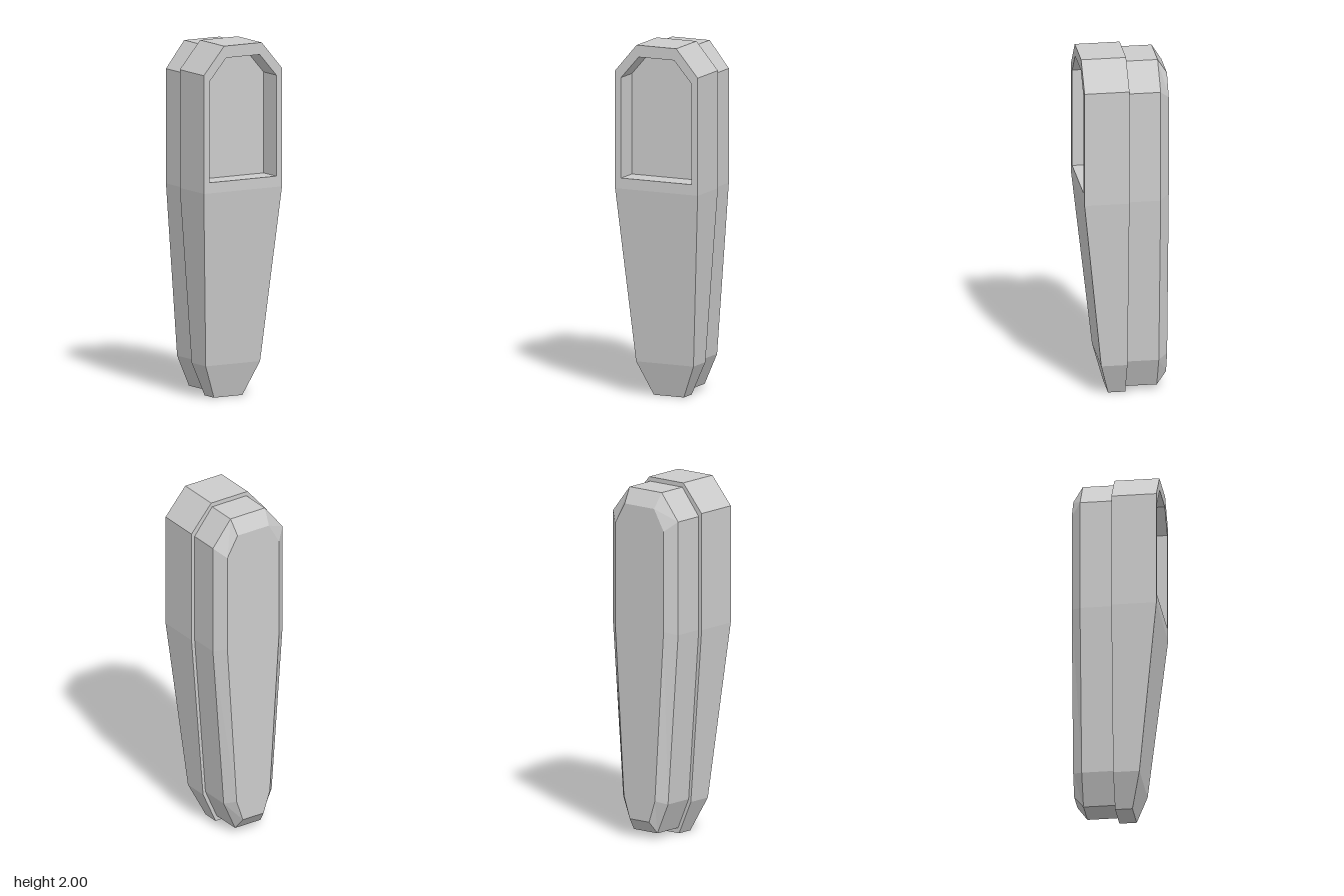
import * as THREE from 'three';

// Half profile [halfWidth, y] bottom to top -> mirrored closed ring, anticlockwise from the front.
// depth is a z value or a function of y.
function ring(half, depth) {
  const z = typeof depth === 'function' ? depth : () => depth;
  const right = half.map(([x, y]) => new THREE.Vector3(x, y, z(y)));
  const left = half.map(([x, y]) => new THREE.Vector3(-x, y, z(y))).reverse();
  return [...right, ...left];
}

// Band of faces joining two rings
function band(a, b) {
  return a.flatMap((p, i) => {
    const j = (i + 1) % a.length;
    return [p, a[j], b[j], p, b[j], b[i]];
  });
}

// Flat convex face
function face(pts) {
  const out = [];
  for (let i = 1; i < pts.length - 1; i++) out.push(pts[0], pts[i], pts[i + 1]);
  return out;
}

const backFace = (pts) => face([...pts].reverse());

function facetedMesh(name, points) {
  const geometry = new THREE.BufferGeometry().setFromPoints(points);
  geometry.computeVertexNormals();
  const material = new THREE.MeshStandardMaterial({ color: 0xcccccc, flatShading: true });
  const mesh = new THREE.Mesh(geometry, material);
  mesh.name = name;
  return mesh;
}

export function createModel() {
  const model = new THREE.Group();
  model.name = 'taperedHandheldCase';

  const seam = -0.01, front = 0.242;

  // Front shell: full-depth head, then a taper and a steeper tip
  const tip = [0.093, 0], ankle = [0.178, 0.19], waist = [0.256, 1.18];
  const head = [waist, [0.256, 1.845], [0.123, 2]];
  const shellProfile = [tip, ankle, ...head];
  const frontZ = (y) => {
    if (y >= waist[1]) return front;
    if (y >= ankle[1]) return THREE.MathUtils.mapLinear(y, ankle[1], waist[1], 0.137, front);
    return THREE.MathUtils.mapLinear(y, 0, ankle[1], 0.087, 0.137);
  };
  const shellBack = ring(shellProfile, seam);
  const shellFront = ring(shellProfile, frontZ);

  // Window recess cut into the head
  const windowProfile = [[0.219, 1.24], [0.219, 1.808], [0.11, 1.933]];
  const windowRim = ring(windowProfile, front);
  const windowFloor = ring(windowProfile, front - 0.135);

  model.add(facetedMesh('frontShell', [
    ...backFace(shellBack),
    ...band(shellBack, shellFront),
    ...face(ring([tip, ankle], frontZ)),
    ...face(ring([ankle, waist], frontZ)),
    ...band(ring(head, front), windowRim),
  ]));
  model.add(facetedMesh('windowRecess', [
    ...band(windowRim, windowFloor),
    ...face(windowFloor),
  ]));

  // Back cover: slightly smaller outline with a bevelled rear edge
  const coverProfile = [[0.085, 0.03], [0.162, 0.205], [0.235, 1.18], [0.235, 1.825], [0.116, 1.975]];
  const rearProfile = [[0.07, 0.1], [0.112, 0.225], [0.175, 1.2], [0.175, 1.77], [0.106, 1.89]];
  const coverFront = ring(coverProfile, seam);
  const coverEdge = ring(coverProfile, -0.188);
  const coverRear = ring(rearProfile, -0.242);
  model.add(facetedMesh('backCover', [
    ...band(coverEdge, coverFront),
    ...band(coverRear, coverEdge),
    ...backFace(coverRear),
  ]));

  return model;
}
